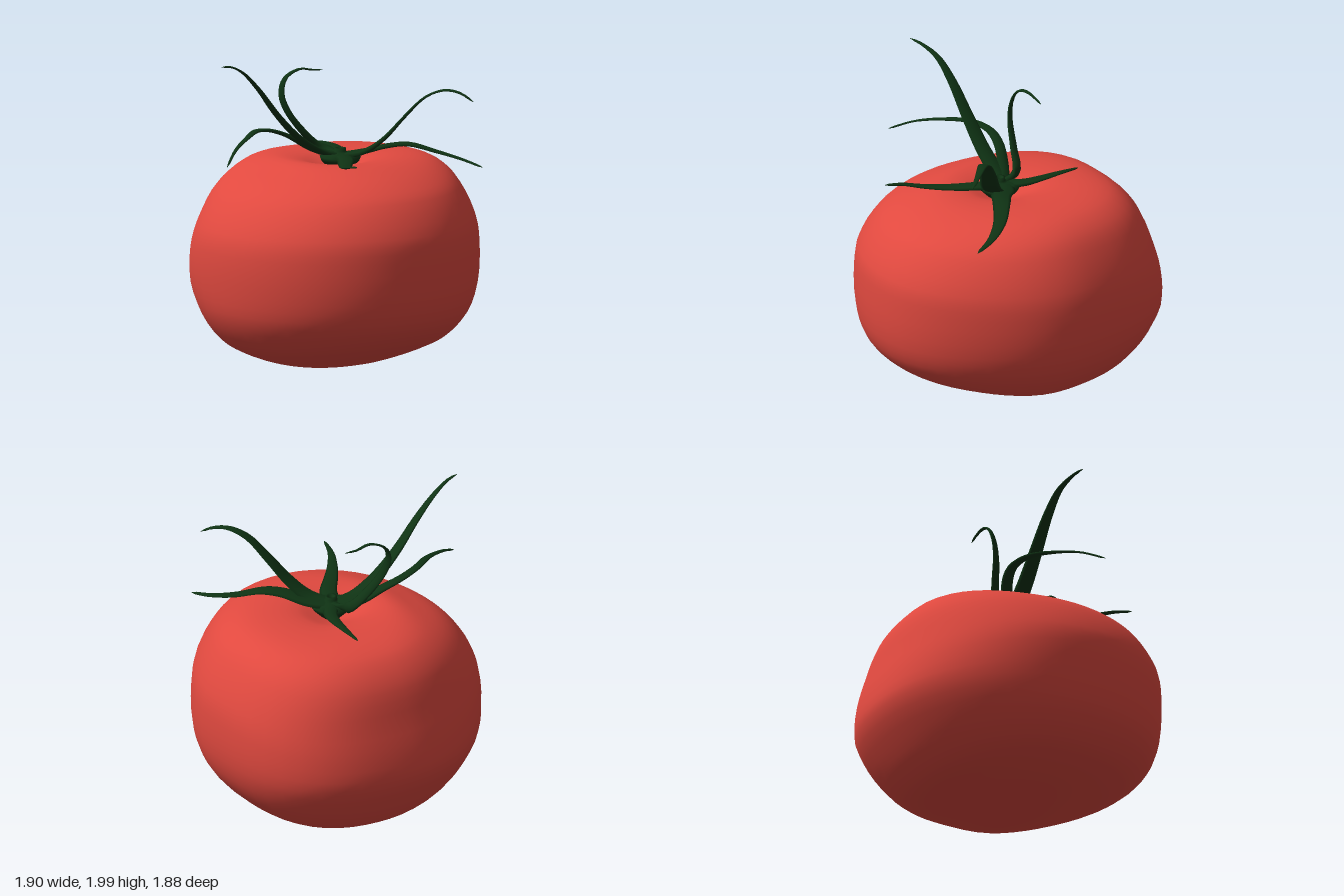
import * as THREE from 'three';

const V = (x, y, z) => new THREE.Vector3(x, y, z);
const red = new THREE.MeshStandardMaterial({ color: 0xe0493f });
const green = new THREE.MeshStandardMaterial({ color: 0x0f3314 });

// Skin a list of closed rings, each counter-clockwise seen from the end of the path
function loft(rings) {
  const n = rings[0].length, pos = [], index = [];
  rings.forEach(r => r.forEach(p => pos.push(p.x, p.y, p.z)));
  for (let i = 0; i < rings.length - 1; i++) {
    for (let j = 0; j < n; j++) {
      const k = (j + 1) % n;
      const a = i * n + j, b = i * n + k, c = b + n, d = a + n;
      index.push(a, b, c, a, c, d);
    }
  }
  const g = new THREE.BufferGeometry();
  g.setAttribute('position', new THREE.Float32BufferAttribute(pos, 3));
  g.setIndex(index);
  g.computeVertexNormals();
  return g;
}

// Fruit outline as [radius, height], bottom to shoulder, on each side
const sides = {
  left: [[.22, .02], [.42, .06], [.57, .11], [.69, .18], [.84, .36], [.905, .55], [.915, .8], [.89, .95], [.8, 1.15], [.72, 1.25], [.6, 1.315], [.42, 1.335]],
  back: [[.2, .01], [.42, .05], [.6, .085], [.7, .16], [.81, .3], [.93, .52], [.915, .7], [.86, .9], [.8, 1.1], [.73, 1.21], [.63, 1.29], [.45, 1.33]],
  right: [[.23, .02], [.46, .06], [.62, .12], [.75, .2], [.87, .37], [.91, .55], [.92, .8], [.89, .93], [.78, 1.1], [.66, 1.2], [.5, 1.275], [.35, 1.33]],
  front: [[.2, .03], [.4, .09], [.6, .17], [.74, .24], [.87, .36], [.93, .52], [.94, .8], [.92, .95], [.8, 1.15], [.69, 1.23], [.55, 1.29], [.4, 1.325]],
};
const bulge = [.08, 0, 0, -.04]; // extra radius on the diagonals between the sides

function fruitGeometry() {
  const curves = ['left', 'back', 'right', 'front'].map(k => new THREE.CatmullRomCurve3(
    [[.001, .015], ...sides[k], [.24, 1.32], [.13, 1.28], [.001, 1.23]].map(([r, y]) => V(r, y, 0)), false, 'centripetal'));
  const rings = [], rows = 45, cols = 48;
  for (let i = 0; i <= rows; i++) {
    const ring = [];
    for (let j = 0; j < cols; j++) {
      const q = Math.floor(j * 4 / cols), f = j * 4 / cols - q;
      const p = curves[q].getPoint(i / rows).lerp(curves[(q + 1) % 4].getPoint(i / rows), Math.sin(f * Math.PI / 2) ** 2);
      const r = p.x * (1 + bulge[q] * Math.sin(f * Math.PI) ** 2), t = j / cols * Math.PI * 2;
      ring.push(V(.03 + r * Math.cos(t), p.y, -r * Math.sin(t)));
    }
    rings.push(ring);
  }
  return loft(rings);
}

// Tapering leaf with a flat oval section, swept along a curve
function sepalGeometry(points, width, sideHint) {
  const curve = new THREE.CatmullRomCurve3(points.map(p => V(...p)), false, 'centripetal');
  const tip = points[points.length - 1], base = points[0];
  const hint = sideHint ? V(...sideHint) : V(tip[2] - base[2], 0, base[0] - tip[0]);
  const rings = [], steps = 28, n = 8;
  for (let i = 0; i <= steps; i++) {
    const u = i / steps, c = curve.getPointAt(u), t = curve.getTangentAt(u);
    const s = hint.clone().addScaledVector(t, -hint.dot(t)).normalize();
    const m = t.clone().cross(s);
    const w = i === steps ? .001 : width / 2 * (1 - .88 * u ** 1.6);
    const h = Math.min(w, .006 + .016 * (1 - u) ** 2);
    const ring = [];
    for (let j = 0; j < n; j++) {
      const a = j / n * Math.PI * 2;
      ring.push(c.clone().addScaledVector(s, w * Math.cos(a)).addScaledVector(m, h * Math.sin(a)));
    }
    rings.push(ring);
  }
  return loft(rings);
}

const hub = [.03, 1.335, .02];
const sepals = [
  { name: 'tallSepal', width: .12, path: [hub, [-.1, 1.38, -.03], [-.25, 1.48, -.05], [-.4, 1.63, -.06], [-.55, 1.81, -.06], [-.68, 1.93, -.05], [-.8, 1.985, -.02], [-.89, 1.997, 0]] },
  { name: 'archedSepal', width: .085, path: [hub, [-.08, 1.37, -.09], [-.22, 1.46, -.17], [-.34, 1.505, -.195], [-.48, 1.525, -.16], [-.62, 1.515, -.07], [-.8, 1.465, .03], [-.95, 1.385, .13]] },
  { name: 'curledSepal', width: .075, side: [.35, 0, 1], path: [hub, [0, 1.37, -.13], [-.1, 1.48, -.19], [-.19, 1.62, -.235], [-.21, 1.72, -.26], [-.17, 1.81, -.272], [-.06, 1.858, -.262], [.03, 1.842, -.262], [.105, 1.836, -.245]] },
  { name: 'backSepal', width: .1, path: [hub, [.12, 1.345, -.1], [.155, 1.355, -.2], [.17, 1.357, -.33], [.17, 1.345, -.49]] },
  { name: 'raisedSepal', width: .15, path: [hub, [.13, 1.37, .15], [.21, 1.46, .25], [.3, 1.6, .34], [.39, 1.73, .44], [.47, 1.775, .53], [.53, 1.76, .61], [.573, 1.71, .69]] },
  { name: 'drapedSepal', width: .15, path: [hub, [.16, 1.36, .1], [.27, 1.4, .21], [.37, 1.41, .29], [.5, 1.365, .41], [.59, 1.325, .55], [.635, 1.29, .7]] },
  { name: 'frontSepal', width: .12, path: [hub, [-.04, 1.34, .17], [-.15, 1.335, .31], [-.24, 1.345, .43], [-.3, 1.37, .54], [-.33, 1.39, .66]] },
];

export function createModel() {
  const model = new THREE.Group();
  model.name = 'tomato';
  const add = (name, geometry, material, parent = model) => {
    const mesh = new THREE.Mesh(geometry, material);
    mesh.name = name;
    parent.add(mesh);
    return mesh;
  };

  add('fruit', fruitGeometry(), red);

  const calyx = new THREE.Group();
  calyx.name = 'calyx';
  model.add(calyx);
  sepals.forEach(s => add(s.name, sepalGeometry(s.path, s.width, s.side), green, calyx));

  // Hub seated in the dip, with a hollow stem stub
  const profile = [[0, 1.23], [.06, 1.25], [.12, 1.31], [.13, 1.335], [.1, 1.352], [.05, 1.358], [.036, 1.37], [.036, 1.388], [.022, 1.388], [.012, 1.365], [0, 1.362]];
  const stem = add('stemHub', new THREE.LatheGeometry(profile.map(([r, y]) => new THREE.Vector2(r, y)), 16), green, calyx);
  stem.position.set(.03, 0, .03);

  return model;
}
